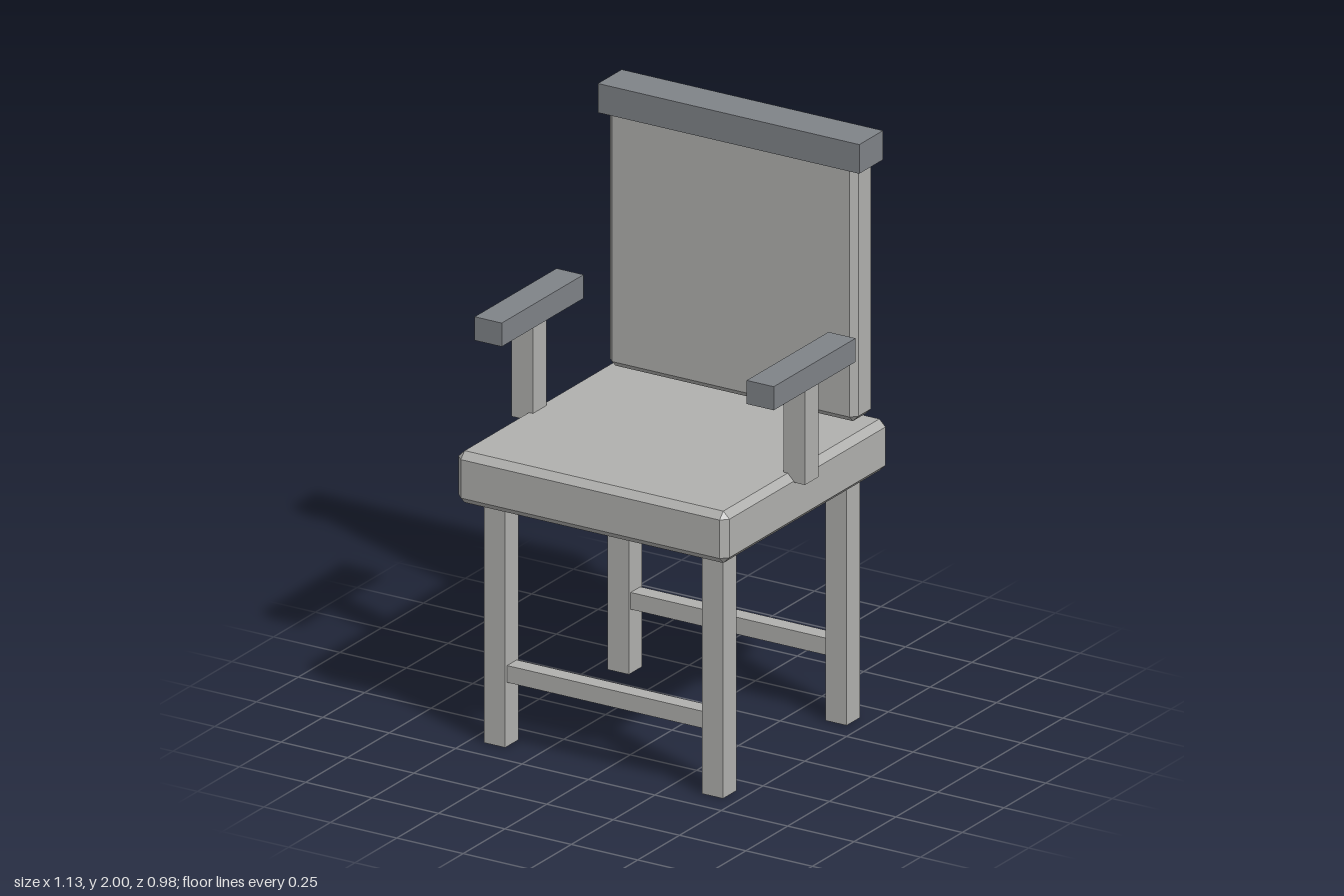
import * as THREE from 'three';
import { ConvexGeometry } from 'three/addons/geometries/ConvexGeometry.js';

const body = new THREE.MeshStandardMaterial({ color: 0xb0b0ae });
body.name = 'light grey';
const trim = new THREE.MeshStandardMaterial({ color: 0x7f8388 });
trim.name = 'slate grey';

// Box with every edge cut by a single flat chamfer
function chamferedBox(w, h, d, c) {
  const points = [];
  for (const sx of [-1, 1]) for (const sy of [-1, 1]) for (const sz of [-1, 1]) {
    for (let full = 0; full < 3; full++) {
      const inset = [c, c, c];
      inset[full] = 0;
      points.push(new THREE.Vector3(
        sx * (w / 2 - inset[0]), sy * (h / 2 - inset[1]), sz * (d / 2 - inset[2])));
    }
  }
  return new ConvexGeometry(points);
}

export function createModel() {
  const chair = new THREE.Group();
  chair.name = 'armchair';

  // Adds a box given its extents on each axis, chamfered if asked
  function addBox(name, material, [x0, x1], [y0, y1], [z0, z1], chamfer = 0) {
    const size = [x1 - x0, y1 - y0, z1 - z0];
    const geometry = chamfer ? chamferedBox(...size, chamfer) : new THREE.BoxGeometry(...size);
    const mesh = new THREE.Mesh(geometry, material);
    mesh.position.set((x0 + x1) / 2, (y0 + y1) / 2, (z0 + z1) / 2);
    mesh.name = name;
    chair.add(mesh);
  }

  // Cushioned seat and back, with the rail capping the back
  addBox('seat', body, [-0.51, 0.51], [0.836, 1.014], [-0.49, 0.49], 0.023);
  addBox('backrest', body, [-0.468, 0.468], [1.03, 1.93], [-0.468, -0.351], 0.021);
  addBox('topRail', trim, [-0.492, 0.492], [1.9, 2], [-0.481, -0.339]);

  // Legs with a stretcher between each left and right pair
  for (const [end, s] of [['front', 1], ['back', -1]]) {
    const z = s * 0.37;
    for (const [side, x] of [['Left', 0.41], ['Right', -0.41]]) {
      addBox(`${end}${side}Leg`, body, [x - 0.04, x + 0.04], [0, 0.84], [z - 0.04, z + 0.04]);
    }
    addBox(`${end}Stretcher`, body, [-0.372, 0.372], [0.22, 0.278], [z - 0.029, z + 0.029]);
  }

  // Armrests, each on a single post
  for (const [side, s] of [['left', 1], ['right', -1]]) {
    const x = s * 0.512;
    addBox(`${side}ArmPost`, body, [x - 0.04, x + 0.04], [0.987, 1.318], [0.001, 0.082]);
    addBox(`${side}Armrest`, trim, [x - 0.051, x + 0.051], [1.315, 1.396], [-0.204, 0.286]);
  }

  return chair;
}
